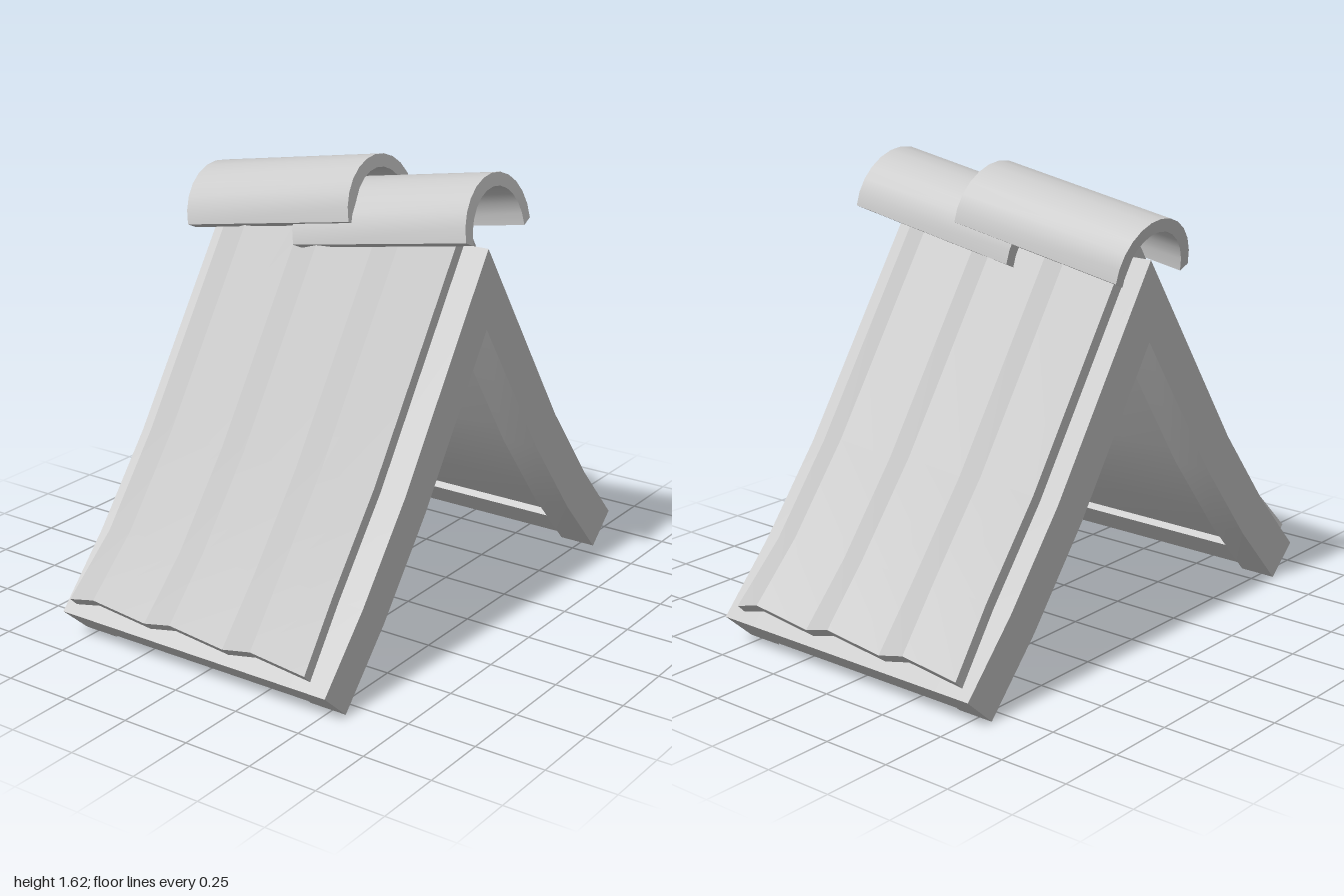
import * as THREE from 'three';
import { toCreasedNormals } from 'three/addons/utils/BufferGeometryUtils.js';

const material = new THREE.MeshStandardMaterial({ color: 0xcccccc });

// Upper edge of the sagging roof slope (ridge to eave) and its outward normals
const SLOPE = [[0, 1.36], [0.485, 0.635], [0.72, 0.335], [0.93, 0.105]];
const NORMALS = [[0.83, 0.555], [0.81, 0.58], [0.77, 0.64], [0.74, 0.67]];

function add(group, name, geometry) {
  const mesh = new THREE.Mesh(geometry, material);
  mesh.name = name;
  group.add(mesh);
  return mesh;
}

function extrude(points, z0, z1) {
  const shape = new THREE.Shape(points.map(([x, y]) => new THREE.Vector2(x, y)));
  const geometry = new THREE.ExtrudeGeometry(shape, { depth: z1 - z0, bevelEnabled: false });
  return toCreasedNormals(geometry.translate(0, 0, z0), 0.4);
}

// Points on the slope, sunk below its upper edge
function sunk(depth) {
  return SLOPE.map(([x, y], i) => i === 0
    ? [0, y - depth / NORMALS[0][1]]
    : [x - NORMALS[i][0] * depth, y - NORMALS[i][1] * depth]);
}

// Inverted V of a given thickness
function chevron(depth, z0, z1) {
  const mirror = (pts) => pts.slice(1).map(([x, y]) => [-x, y]);
  const inner = sunk(depth);
  return extrude([
    ...SLOPE, ...inner.slice().reverse(), ...mirror(inner), ...mirror(SLOPE).reverse(),
  ], z0, z1);
}

// Folded sheet covering one slope, with thickness
function corrugatedSheet(side) {
  const folds = 7, thick = 0.045;
  const stations = [
    { p: [-0.03, 1.405], n: NORMALS[0] },
    { p: SLOPE[1], n: NORMALS[1] },
    { p: SLOPE[2], n: NORMALS[2] },
    { p: [0.905, 0.133], n: [0.7, 0.7] },
  ];
  const positions = [], index = [], ring = folds * 2;
  stations.forEach(({ p, n }, s) => {
    const flare = s === stations.length - 1;
    for (let j = 0; j < ring; j++) {
      const top = j < folds;
      const i = top ? j : ring - 1 - j;
      const h = (i % 2 ? 0.14 : 0.048) - (top ? 0 : thick);
      const z = flare ? 0.48 - i * 0.165 : 0.46 - i * 0.157;
      positions.push(side * (p[0] + n[0] * h), p[1] + n[1] * h, z);
    }
  });
  const quad = (a, b, c, d) => {
    if (side > 0) index.push(a, b, c, a, c, d);
    else index.push(a, c, b, a, d, c);
  };
  for (let s = 0; s < stations.length - 1; s++) {
    for (let j = 0; j < ring; j++) {
      const k = (j + 1) % ring, a = s * ring, b = a + ring;
      quad(a + j, b + j, b + k, a + k);
    }
  }
  // Zigzag ends
  const last = (stations.length - 1) * ring;
  for (let i = 0; i < folds - 1; i++) {
    const b = ring - 1 - i;
    quad(i, i + 1, b - 1, b);
    quad(last + b, last + b - 1, last + i + 1, last + i);
  }
  const geometry = new THREE.BufferGeometry();
  geometry.setAttribute('position', new THREE.Float32BufferAttribute(positions, 3));
  geometry.setIndex(index);
  return toCreasedNormals(geometry, 0.4);
}

// Half-round ridge tile running back from its front lower edge
function ridgeTile() {
  const steps = 12, outer = [], inner = [];
  for (let i = 0; i <= steps; i++) {
    const a = (i / steps) * Math.PI, c = Math.cos(a), s = Math.sin(a);
    outer.push([0.2 * c, 0.19 * s]);
    inner.push([0.16 * c, -0.018 + 0.163 * s]);
  }
  return extrude([...outer, ...inner.reverse()], -0.7, 0);
}

export function createModel() {
  const model = new THREE.Group();
  model.name = 'roof';

  // Thick gable frames with a thinner panel between them
  add(model, 'frontFrame', chevron(0.155, 0.415, 0.553));
  add(model, 'backFrame', chevron(0.155, -0.553, -0.415));
  add(model, 'roofPanel', chevron(0.105, -0.415, 0.415));

  for (const side of [1, -1]) {
    const label = side > 0 ? 'left' : 'right';

    // Beam along the eave, under the panel
    const low = sunk(0.135)[3], high = sunk(0.09)[3];
    const up = [-0.08, 0.092];
    const beam = [low, high, [high[0] + up[0], high[1] + up[1]], [low[0] + up[0], low[1] + up[1]]];
    add(model, label + 'EaveBeam', extrude(beam.map(([x, y]) => [side * x, y]), -0.415, 0.415));

    add(model, label + 'CorrugatedSheet', corrugatedSheet(side));
  }

  // Two overlapping ridge tiles, tipped down towards the back
  [['frontRidgeTile', 0.59], ['backRidgeTile', 0.13]].forEach(([name, z]) => {
    const tile = add(model, name, ridgeTile());
    tile.position.set(0, 1.43, z);
    tile.rotation.x = -0.165;
  });

  return model;
}
